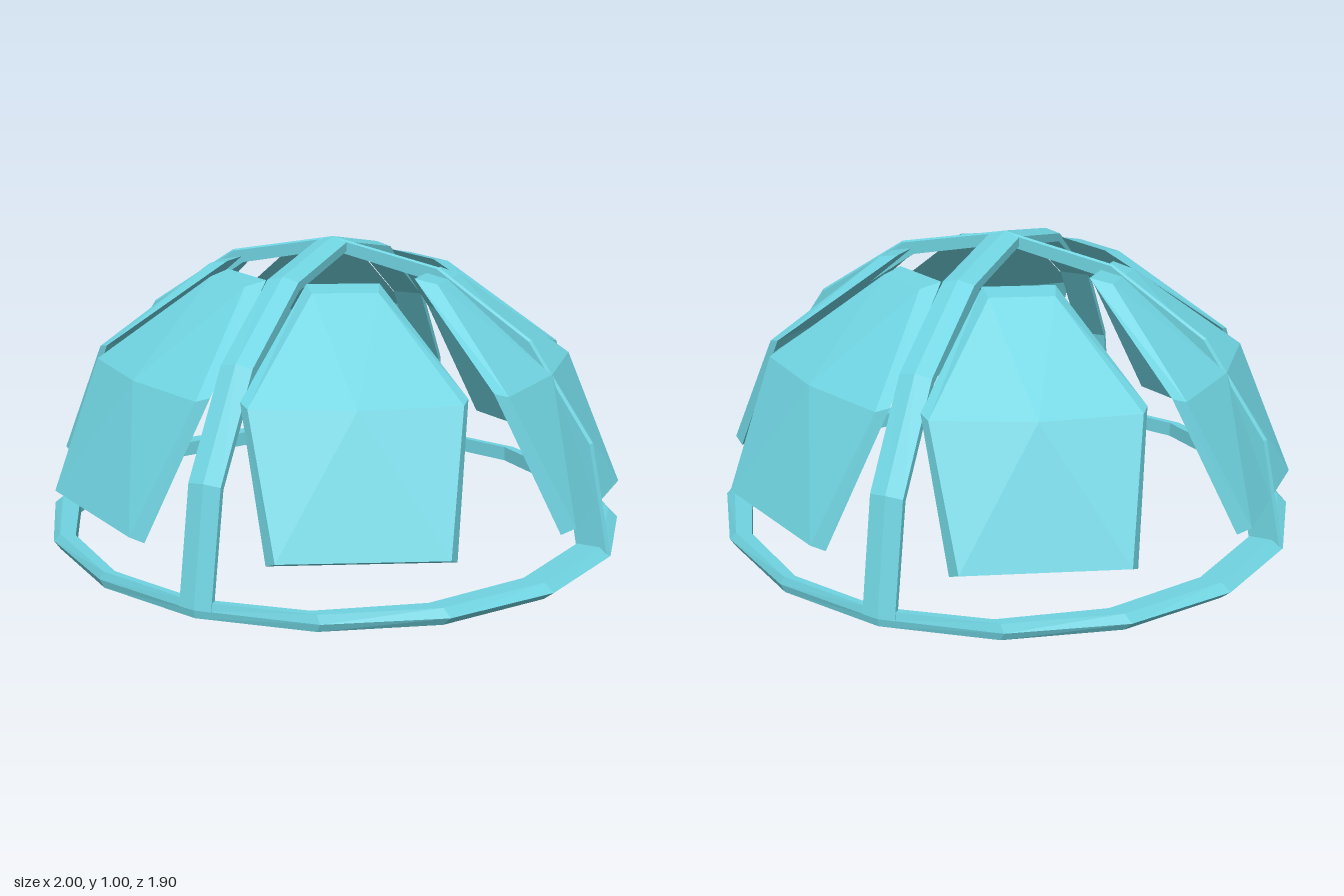
import * as THREE from 'three';

const BASE_Y = 0.027;
const material = new THREE.MeshStandardMaterial({ color: 0x6fd3e0, flatShading: true });

// Flat-shaded mesh from a list of triangles (three Vector3 each)
function meshFrom(name, tris) {
  const geometry = new THREE.BufferGeometry().setFromPoints(tris.flat());
  geometry.computeVertexNormals();
  const mesh = new THREE.Mesh(geometry, material);
  mesh.name = name;
  return mesh;
}

// Faceted band around an ellipse lying in the plane of axes u and v.
// ridge, edge and inner give the two radii of each line; half is half the band's width.
function band(name, u, v, half, { ridge, edge, inner }, segments, sweep) {
  const n = new THREE.Vector3().crossVectors(u, v);
  const profile = [[inner, -half], [edge, -half], [ridge, 0], [edge, half], [inner, half]];
  const loops = [];
  for (let i = 0; i <= segments; i++) {
    const a = (i / segments) * sweep;
    loops.push(profile.map(([radii, w]) => new THREE.Vector3(0, BASE_Y, 0)
      .addScaledVector(u, radii[0] * Math.cos(a))
      .addScaledVector(v, radii[1] * Math.sin(a))
      .addScaledVector(n, w)));
  }
  const tris = [];
  for (let i = 0; i < segments; i++) {
    for (let j = 0; j < profile.length; j++) {
      const k = (j + 1) % profile.length;
      tris.push([loops[i][j], loops[i + 1][j], loops[i + 1][k]]);
      tris.push([loops[i][j], loops[i + 1][k], loops[i][k]]);
    }
  }
  return meshFrom(name, tris);
}

// Six-cornered outline from three [radius, height, half width] rows, bottom to top
function outline(rows) {
  const [b, m, t] = rows;
  const at = ([r, y, w], side) => new THREE.Vector3(r, y, side * w);
  return [at(b, 1), at(b, -1), at(m, -1), at(t, -1), at(t, 1), at(m, 1)];
}

// Thick domed panel: bevelled rim, outer face and inner face each fanned from a centre
function panel(name) {
  const outer = outline([[0.95, 0.2, 0.26], [0.74, 0.61, 0.325], [0.42, 0.89, 0.105]]);
  const deep = outline([[0.91, 0.18, 0.285], [0.7, 0.62, 0.345], [0.345, 0.905, 0.117]]);
  const outerMid = new THREE.Vector3(0.78, 0.61, 0);
  const deepMid = new THREE.Vector3(0.72, 0.59, 0);
  const tris = [];
  for (let i = 0; i < 6; i++) {
    const j = (i + 1) % 6;
    tris.push([outerMid, outer[i], outer[j]]);
    tris.push([deepMid, deep[j], deep[i]]);
    tris.push([deep[i], deep[j], outer[j]], [deep[i], outer[j], outer[i]]);
  }
  return meshFrom(name, tris);
}

export function createModel() {
  const model = new THREE.Group();
  model.name = 'domeFrame';
  const X = new THREE.Vector3(1, 0, 0);
  const Y = new THREE.Vector3(0, 1, 0);
  const Z = new THREE.Vector3(0, 0, 1);
  const top = 1 - BASE_Y;

  // Base ring
  model.add(band('baseRing', X, Z, 0.027,
    { ridge: [1, 0.95], edge: [0.965, 0.945], inner: [0.89, 0.925] }, 16, Math.PI * 2));

  // Thin fin-like arch from side to side
  model.add(band('sideArch', X, Y, 0.008,
    { ridge: [1, top], edge: [0.99, top - 0.005], inner: [0.89, top - 0.045] }, 8, Math.PI));

  // Broad flat arch from front to back
  model.add(band('frontBackArch', Z, Y, 0.055,
    { ridge: [0.95, top], edge: [0.942, top - 0.015], inner: [0.925, top - 0.045] }, 8, Math.PI));

  // Six panels around the dome, slightly squeezed in depth
  const panels = new THREE.Group();
  panels.name = 'panels';
  panels.scale.z = 0.95;
  for (let i = 0; i < 6; i++) {
    const p = panel(`panel${i + 1}`);
    p.rotation.y = (i * Math.PI) / 3;
    panels.add(p);
  }
  model.add(panels);
  return model;
}
